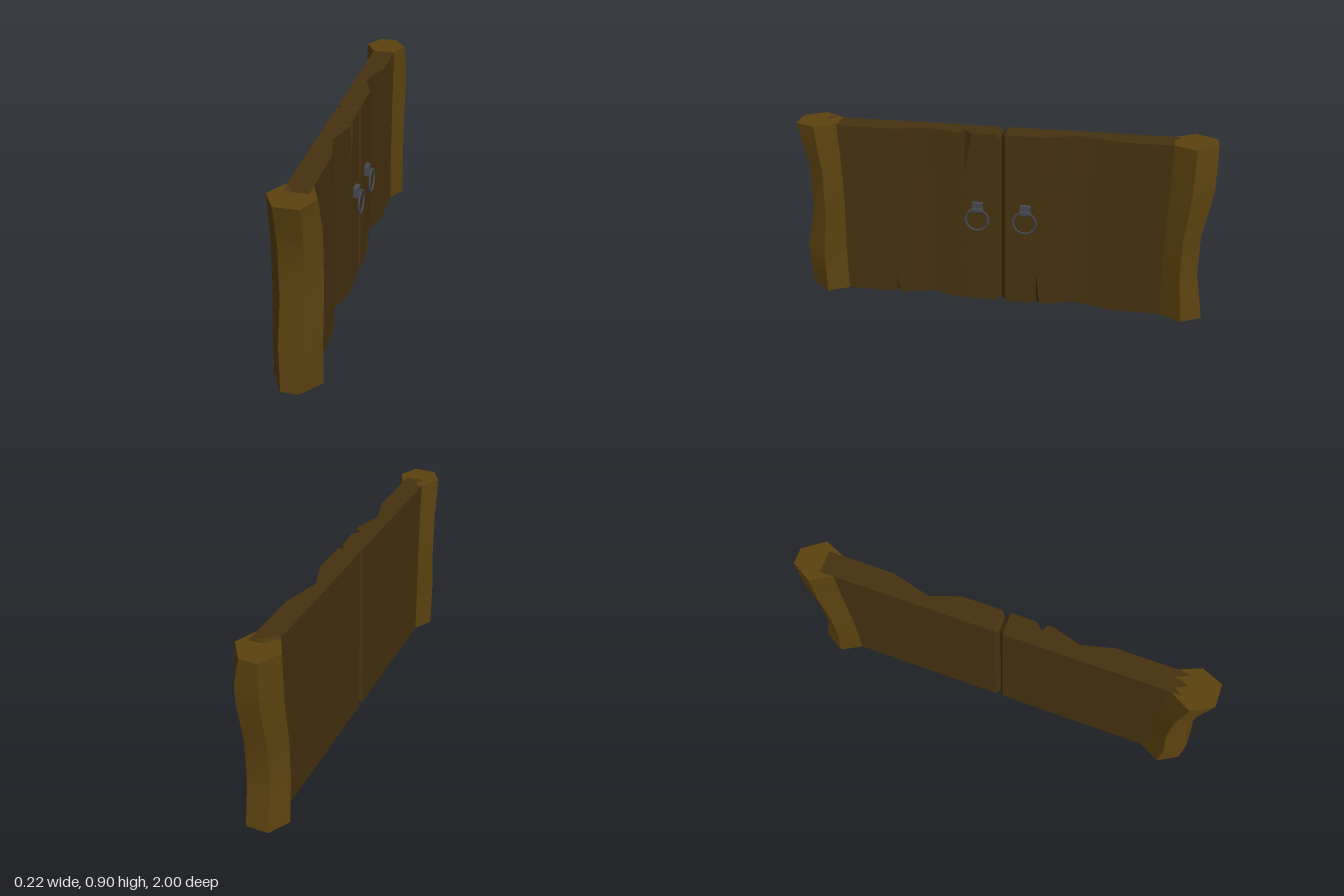
import * as THREE from 'three';
import { toCreasedNormals } from 'three/addons/utils/BufferGeometryUtils.js';

const mat = (color) => new THREE.MeshStandardMaterial({ color });
const postMat = mat(0x5c420f), panelMat = mat(0x46320f), ironMat = mat(0x45484d);

// Skin stacked rings (counterclockwise from above, even count) and cap both ends.
function loft(rows) {
  const pos = [], n = rows[0].length;
  const quad = (a, b, c, d) => pos.push(...a, ...b, ...c, ...a, ...c, ...d);
  for (let j = 0; j < rows.length - 1; j++) {
    for (let i = 0; i < n; i++) {
      const k = (i + 1) % n;
      quad(rows[j][i], rows[j][k], rows[j + 1][k], rows[j + 1][i]);
    }
  }
  const lo = rows[0], hi = rows[rows.length - 1];
  for (let i = 0; i < n / 2 - 1; i++) {
    quad(hi[i], hi[i + 1], hi[n - 2 - i], hi[n - 1 - i]);
    quad(lo[n - 1 - i], lo[n - 2 - i], lo[i + 1], lo[i]);
  }
  const g = new THREE.BufferGeometry();
  g.setAttribute('position', new THREE.Float32BufferAttribute(pos, 3));
  return toCreasedNormals(g, 0.6);
}

function add(parent, name, geometry, material, x = 0, y = 0, z = 0) {
  const m = new THREE.Mesh(geometry, material);
  m.name = name;
  m.position.set(x, y, z);
  parent.add(m);
  return m;
}

const H = 0.9, T = 0.055;

// Door leaf: hollowed front, flat back, chamfered meeting edge, tapering cracks.
// hollow = [outer z, deepest z, inner z, deepest x], all as distances from the centre.
function doorLeaf(side, hollow, cracks) {
  const [zo, zm, zi, xm] = hollow;
  const rows = [0, 0.015, 0.1, 0.18, 0.69, H - 0.015, H].map((y) => {
    const cols = [[0.87, T], [zo, T], [zm, xm], [zi, T], [0.02, T]];
    const atEnd = y === 0 || y === H;
    cols.push([atEnd ? 0.018 : 0.003, 0.036]);
    for (const { from, to, tip, edgeY, tipY, depth } of cracks) {
      const t = THREE.MathUtils.clamp((y - tipY) / (edgeY - tipY), 0.01, 1);
      cols.push([tip + (from - tip) * t, T], [tip, T - depth * t], [tip + (to - tip) * t, T]);
    }
    cols.sort((a, b) => side * (b[0] - a[0]));
    const front = cols.map(([z, x]) => [x, y, side * z]);
    const back = cols.map(([z]) => [z < 0.019 ? -0.036 : -T, y, side * z]).reverse();
    return [...front, ...back];
  });
  return loft(rows);
}

// Six-sided post whose outer side sways along its height.
function post(side, sway, chipBottom, chipTop) {
  const ys = [0, 0.12, 0.23, 0.45, 0.68, 0.77, H];
  const rows = ys.map((y, j) => {
    const s = sway[j], top = j === ys.length - 1;
    const corner = j === 0 ? T - chipBottom : top ? T - chipTop : T;
    const ring = [
      [corner, 1 - s], [top ? 0.098 : 0.11, 0.9 - s * 0.6], [T, 0.8 - s * 0.2],
      [-T, 0.8 - s * 0.2], [-0.112, 0.9 - s * 0.6], [-T, 1 - s],
    ].map(([x, z]) => [x, y, side * z]);
    return side > 0 ? ring : ring.reverse();
  });
  return loft(rows);
}

// Iron ring pull: back block, eye and hanging ring.
function ringPull(z) {
  const g = new THREE.Group();
  g.name = 'ringPull';
  g.position.set(T, 0, z);
  add(g, 'pullPlate', new THREE.BoxGeometry(0.024, 0.05, 0.052), ironMat, 0.01, 0.522, 0);
  const eye = add(g, 'pullEye', new THREE.CylinderGeometry(0.013, 0.013, 0.05, 8), ironMat, 0.024, 0.51, 0);
  eye.rotation.x = Math.PI / 2;
  const ring = add(g, 'pullRing', new THREE.TorusGeometry(0.056, 0.006, 6, 24), ironMat, 0.034, 0.466, 0);
  ring.rotation.y = Math.PI / 2;
  return g;
}

export function createModel() {
  const gate = new THREE.Group();
  gate.name = 'woodenGate';

  add(gate, 'leftDoor', doorLeaf(1, [0.51, 0.36, 0.225, 0.015], [
    { from: 0.192, to: 0.14, tip: 0.178, edgeY: H, tipY: 0.69, depth: 0.035 },
    { from: 0.56, to: 0.525, tip: 0.542, edgeY: 0, tipY: 0.1, depth: 0.03 },
  ]), panelMat);
  add(gate, 'rightDoor', doorLeaf(-1, [0.55, 0.36, 0.215, 0.005], [
    { from: 0.195, to: 0.14, tip: 0.176, edgeY: 0, tipY: 0.18, depth: 0.035 },
  ]), panelMat);

  add(gate, 'leftPost', post(1, [0, 0, 0, 0.045, 0.045, 0.028, 0], 0.03, 0), postMat);
  add(gate, 'rightPost', post(-1, [0, 0.02, 0.04, 0.04, 0, 0, 0], 0, 0.03), postMat);

  for (const z of [0.113, -0.12]) gate.add(ringPull(z));
  return gate;
}
